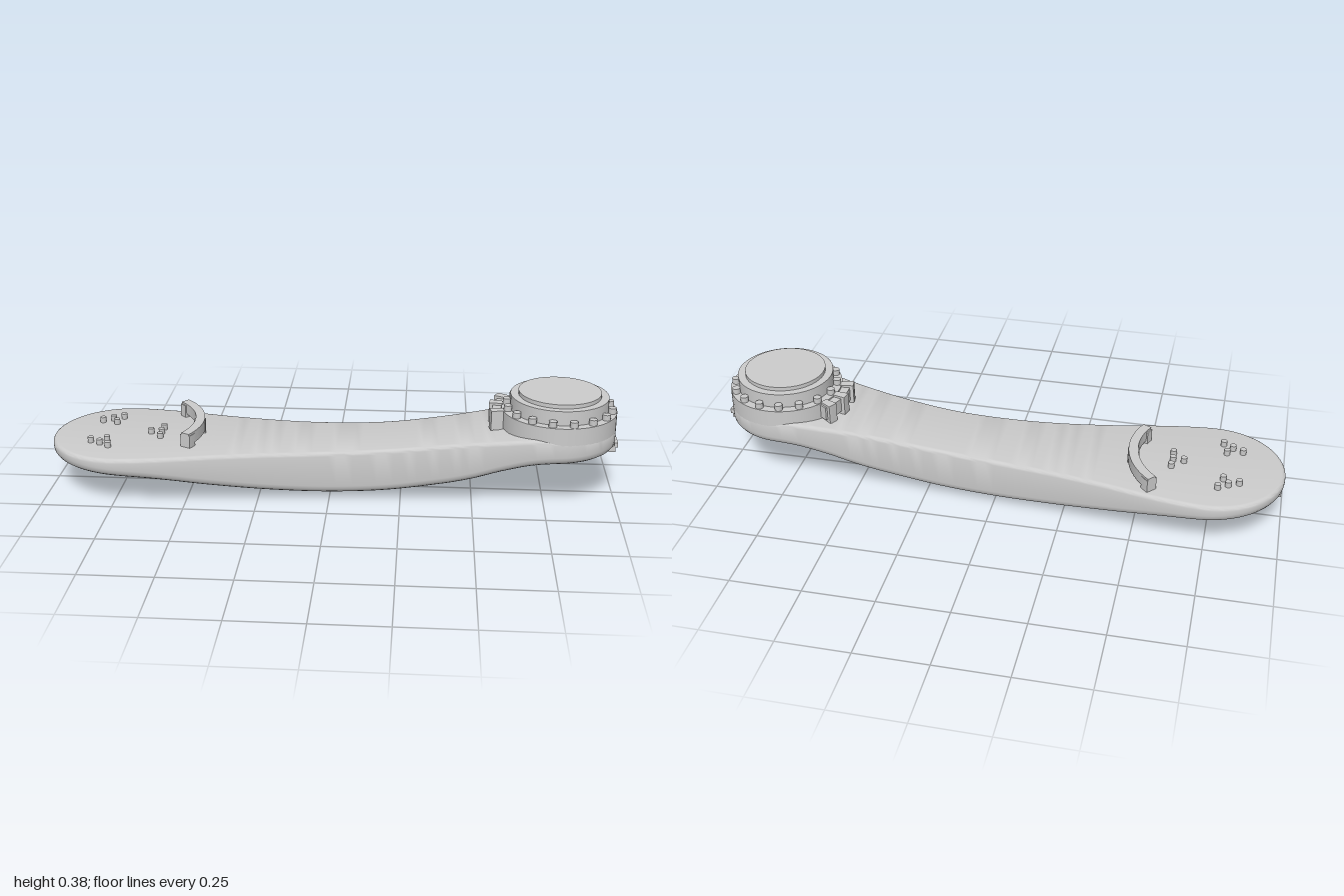
import * as THREE from 'three';
import { toCreasedNormals } from 'three/addons/utils/BufferGeometryUtils.js';

const mat = new THREE.MeshStandardMaterial({ color: 0xcccccc, side: THREE.DoubleSide });
const PAD = { x: -0.745, r: 0.255 };
const HUB = { x: 0.795, r: 0.2 };

// Smooth interpolation through [x, value] pairs
function table(pts) {
  const slope = (i) => {
    if (i === 0 || i === pts.length - 1) return 0;
    return (pts[i + 1][1] - pts[i - 1][1]) / (pts[i + 1][0] - pts[i - 1][0]);
  };
  return (x) => {
    if (x <= pts[0][0]) return pts[0][1];
    for (let i = 0; i < pts.length - 1; i++) {
      const [x0, a] = pts[i], [x1, b] = pts[i + 1];
      if (x > x1) continue;
      const h = x1 - x0, t = (x - x0) / h, s = 1 - t;
      return a * (1 + 2 * t) * s * s + slope(i) * h * t * s * s
        + b * t * t * (3 - 2 * t) - slope(i + 1) * h * t * t * s;
    }
    return pts[pts.length - 1][1];
  };
}

const waist = table([[-0.745, 0.255], [-0.6, 0.24], [-0.5, 0.221], [-0.4, 0.2], [-0.2, 0.168],
  [0, 0.15], [0.2, 0.143], [0.4, 0.15], [0.55, 0.167], [0.7, 0.192], [0.795, 0.2]]);
const topY = table([[-1, 0.18], [-0.2, 0.182], [0, 0.186], [0.2, 0.198], [0.4, 0.223],
  [0.6, 0.252], [0.72, 0.268], [1, 0.268]]);
const bottomY = table([[-1, 0.125], [-0.8, 0.118], [-0.6, 0.098], [-0.4, 0.063], [-0.2, 0.038],
  [0, 0.029], [0.2, 0.039], [0.4, 0.073], [0.5, 0.1], [0.6, 0.137], [0.7, 0.168], [0.8, 0.181], [1, 0.188]]);
const ceilingY = table([[-1, 0.143], [-0.5, 0.145], [-0.3, 0.155], [0, 0.165], [0.3, 0.185], [0.5, 0.203], [1, 0.203]]);
const padTail = table([[-0.745, 0.225], [-0.6, 0.205], [-0.5, 0.17], [-0.4, 0.1], [-0.36, 0.065], [-0.33, 0]]);
const hubTail = table([[0.42, 0], [0.45, 0.05], [0.5, 0.09], [0.6, 0.125], [0.7, 0.155], [0.795, 0.17]]);

// Plan outline, moved inward by off
function halfWidth(x, off) {
  const end = x < PAD.x ? PAD : x > HUB.x ? HUB : null;
  if (end) return Math.sqrt(Math.max(0, (end.r - off) ** 2 - (x - end.x) ** 2));
  return waist(x) - off;
}
function opening(x) {
  if (x < PAD.x || x > HUB.x) return halfWidth(x, 0.03);
  return x < 0 ? padTail(x) : hubTail(x);
}

// Hollow arm: closed cross-sections (outer skin, then inner skin) lofted along x
function armGeometry() {
  const sections = 110, wall = 0.03, rings = [];
  for (let s = 0; s <= sections; s++) {
    const u = (1 - Math.cos((Math.PI * s) / sections)) / 2;
    const at = (off) => -1 + off + u * (1.995 - 2 * off);
    const outer = [], inner = [];
    const xl = at(wall);
    outer.push([xl, bottomY(xl), opening(xl)]);
    for (const [r, isTop] of [[0.03, false], [0.015, true]]) {
      for (let k = 0; k <= 4; k++) {
        const a = (k / 4) * Math.PI / 2;
        const off = r * (1 - (isTop ? Math.cos(a) : Math.sin(a)));
        const x = at(off);
        const y = isTop ? topY(x) - r * (1 - Math.sin(a)) : bottomY(x) + r * (1 - Math.cos(a));
        outer.push([x, y, halfWidth(x, off)]);
      }
    }
    inner.push([xl, bottomY(xl) + 0.012, opening(xl)],
      [xl, bottomY(xl) + 0.012, halfWidth(xl, wall)], [xl, ceilingY(xl), halfWidth(xl, wall)]);
    const flip = (pts) => pts.map(([x, y, z]) => [x, y, -z]).reverse();
    rings.push([...outer, ...flip(outer), ...flip(inner).reverse(), ...inner.slice().reverse()]);
  }
  const n = rings[0].length, index = [];
  for (let i = 0; i < sections; i++) {
    for (let j = 0; j < n; j++) {
      const a = i * n + j, b = i * n + (j + 1) % n;
      index.push(a, a + n, b, b, a + n, b + n);
    }
  }
  const geo = new THREE.BufferGeometry();
  geo.setAttribute('position', new THREE.Float32BufferAttribute(rings.flat(2), 3));
  geo.setIndex(index);
  return toCreasedNormals(geo, 0.6);
}

export function createModel() {
  const model = new THREE.Group();
  const add = (name, geo, x = 0, y = 0, z = 0, parent = model) => {
    const mesh = new THREE.Mesh(geo, mat);
    mesh.name = name;
    mesh.position.set(x, y, z);
    parent.add(mesh);
    return mesh;
  };
  const box = (name, w, h, d, x, y, z = 0, tilt = 0) => {
    const mesh = add(name, new THREE.BoxGeometry(w, h, d), x, y, z);
    mesh.rotation.z = tilt;
    return mesh;
  };
  const disc = (name, r, y0, y1, x, z = 0, sides = 16) =>
    add(name, new THREE.CylinderGeometry(r, r, y1 - y0, sides), x, (y0 + y1) / 2, z);

  add('armShell', armGeometry());

  // Hub drum with stepped cap and bolt circle
  disc('hubRim', 0.2, 0.255, 0.317, HUB.x, 0, 48);
  disc('hubFlange', 0.17, 0.317, 0.368, HUB.x, 0, 48);
  disc('hubCap', 0.143, 0.368, 0.382, HUB.x, 0, 48);
  for (let i = 0; i < 16; i++) {
    const a = ((i + 0.5) / 16) * Math.PI * 2;
    disc('hubBolt', 0.014, 0.312, 0.337, HUB.x + 0.183 * Math.cos(a), 0.183 * Math.sin(a), 12);
  }
  disc('hubDrainScrew', 0.012, 0.193, 0.205, 0.87, 0.06);

  // Three bolt clusters through the pad
  for (let i = 0; i < 3; i++) {
    const turn = (i * Math.PI * 2) / 3;
    for (const [r, a] of [[0.095, 0], [0.133, 0], [0.141, 0.29], [0.141, -0.29]]) {
      const x = PAD.x + r * Math.cos(a + turn), z = r * Math.sin(a + turn);
      disc('padBolt', 0.011, 0.175, 0.2, x, z, 12);
      disc('padNut', 0.017, 0.117, 0.146, x, z, 12);
    }
  }
  disc('padCentreScrew', 0.011, 0.136, 0.146, -0.82, 0, 12);

  // Curved guards: flat arc bands standing on the arm
  const arcBand = (name, cx, r0, r1, a0, a1, y0, y1) => {
    const shape = new THREE.Shape();
    shape.absarc(0, 0, r1, a0, a1, false);
    shape.absarc(0, 0, r0, a1, a0, true);
    const geo = new THREE.ExtrudeGeometry(shape, { depth: y1 - y0, bevelEnabled: false, curveSegments: 20 });
    geo.rotateX(Math.PI / 2);
    return add(name, toCreasedNormals(geo, 0.5), cx, y1, 0);
  };
  arcBand('padGuard', PAD.x, 0.255, 0.288, -0.82, 0.48, 0.192, 0.233);
  for (const a of [-0.76, -0.1, 0.42]) {
    arcBand('padGuardFoot', PAD.x, 0.25, 0.29, a - 0.06, a + 0.06, 0.175, 0.226);
  }
  arcBand('hubGuard', HUB.x, 0.195, 0.23, Math.PI - 0.24, Math.PI + 0.6, 0.262, 0.312);
  for (const a of [-0.18, 0.18, 0.5]) {
    arcBand('hubGuardLug', HUB.x, 0.195, 0.243, Math.PI + a - 0.07, Math.PI + a + 0.07, 0.25, 0.32);
  }

  // U-shaped straps hanging in the two openings
  const strap = (name, x, yLow, yHigh, r, tilt) => {
    const group = new THREE.Group();
    group.name = name;
    const leg = yHigh - yLow - r, t = 0.007;
    const shape = new THREE.Shape();
    shape.moveTo(r, leg);
    shape.lineTo(r, 0);
    shape.absarc(0, 0, r, 0, Math.PI, true);
    shape.lineTo(-r, leg);
    shape.lineTo(-r + t, leg);
    shape.lineTo(-r + t, 0);
    shape.absarc(0, 0, r - t, Math.PI, 0, false);
    shape.lineTo(r - t, leg);
    const geo = new THREE.ExtrudeGeometry(shape, { depth: 0.036, bevelEnabled: false, curveSegments: 20 });
    geo.translate(0, 0, -0.018).rotateY(Math.PI / 2);
    add('strapBand', toCreasedNormals(geo, 0.5), 0, 0, 0, group);
    add('strapPlate', new THREE.BoxGeometry(0.05, 0.012, r * 2 + 0.07), 0, leg, 0, group);
    for (const s of [-1, 1]) {
      add('strapBolt', new THREE.CylinderGeometry(0.009, 0.009, 0.03, 10), 0, leg, s * (r + 0.02), group);
    }
    group.position.set(x, yLow + r, 0);
    group.rotation.z = tilt;
    model.add(group);
  };
  strap('padStrap', -0.355, 0.004, 0.145, 0.05, 0.25);
  strap('hubStrap', 0.5, 0.088, 0.185, 0.052, -0.3);

  // Tabs on the underside and clips at both ends
  box('undersideTab', 0.045, 0.016, 0.116, -0.21, 0.03, 0, -0.1);
  box('undersidePanel', 0.05, 0.008, 0.1, -0.14, 0.033, 0, -0.05);
  box('undersideTab', 0.045, 0.018, 0.116, 0.33, 0.057, 0, 0.16);
  box('undersidePanel', 0.05, 0.008, 0.1, 0.25, 0.045, 0, 0.12);
  box('padEndClip', 0.04, 0.022, 0.09, -0.972, 0.125);
  box('hubEndClip', 0.045, 0.022, 0.12, 0.97, 0.193);
  box('hubEndPlate', 0.012, 0.018, 0.12, 0.994, 0.207);

  return model;
}
